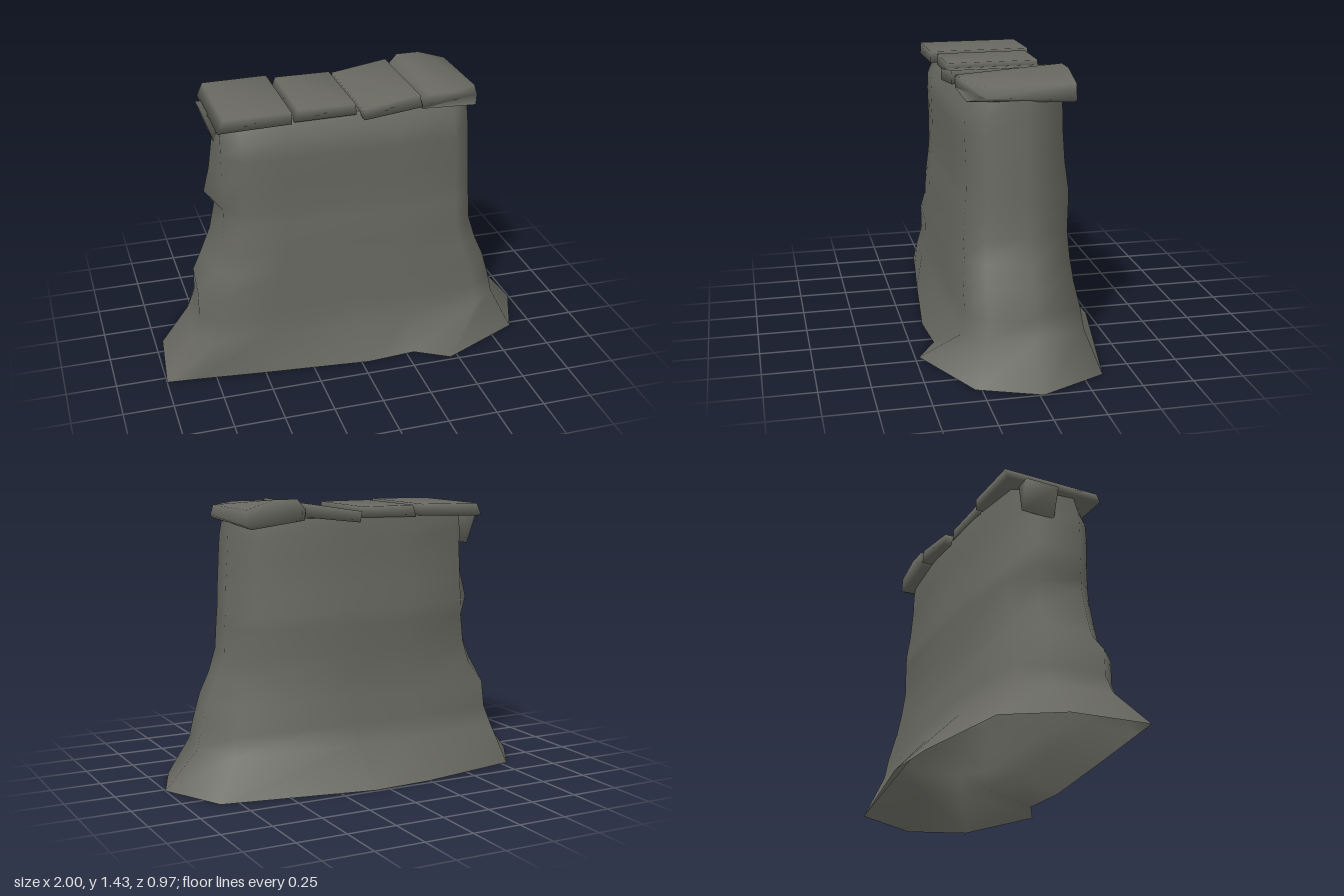
import * as THREE from 'three';
import { mergeVertices } from 'three/addons/utils/BufferGeometryUtils.js';

const stone = new THREE.MeshStandardMaterial({ color: 0x686861, side: THREE.DoubleSide });
stone.name = 'grey stone';

// Flared outline on the ground, as [x, z]
const foot = [[-1, 0.29], [-0.96, -0.1], [-0.79, -0.37], [-0.25, -0.47], [0.07, -0.49], [0.84, -0.35],
  [1, -0.02], [0.88, 0.28], [0.46, 0.48], [0.29, 0.38], [0.04, 0.4], [-0.5, 0.345], [-0.85, 0.305]];
// Rounded outline of the wall, in unit extents
const outline = [[-1, 0.62], [-0.97, -0.3], [-0.9, -0.82], [-0.35, -1], [0.1, -1], [0.88, -0.9],
  [1, -0.1], [0.95, 0.65], [0.8, 0.95], [0.35, 1], [0, 1], [-0.55, 1], [-0.87, 0.95]];
// Wall levels: y, left end, right end, back, front, bulge of the left end
const levels = [
  [0.2, -0.84, 0.83, 0.315, 0.32, 0], [0.3, -0.8, 0.81, 0.3, 0.3, 0],
  [0.43, -0.8, 0.77, 0.27, 0.3, 0], [0.54, -0.71, 0.72, 0.26, 0.285, 0.04], [0.66, -0.67, 0.68, 0.255, 0.285, 0.03],
  [0.8, -0.65, 0.675, 0.26, 0.27, 0.02], [0.87, -0.65, 0.67, 0.26, 0.265, 0.07], [1.0, -0.65, 0.665, 0.24, 0.265, 0.04],
  [1.15, -0.65, 0.655, 0.23, 0.27, 0.02], [1.24, -0.65, 0.65, 0.23, 0.265, 0], [1.335, -0.65, 0.645, 0.22, 0.215, 0]];

// Wall outline at one level, as [x, z]
const ring = ([, left, right, back, front, bulge]) => outline.map(([u, v], i) => [
  (u < 0 ? -u * left : u * right) - (i === 1 ? bulge : 0), v * (v < 0 ? back : front)]);

function wallGeometry() {
  const n = foot.length;
  const pos = foot.flatMap(([x, z]) => [x, 0.005, z]);
  for (const level of levels) {
    for (const [x, z] of ring(level)) pos.push(x, level[0], z);
  }
  const index = [];
  for (let r = 0; r < levels.length; r++) {
    for (let i = 0; i < n; i++) {
      const a = r * n + i, b = r * n + (i + 1) % n;
      index.push(a, a + n, b, b, a + n, b + n);
    }
  }
  const g = new THREE.BufferGeometry();
  g.setAttribute('position', new THREE.Float32BufferAttribute(pos, 3));
  g.setIndex(index);
  g.computeVertexNormals();
  return g;
}

// Slab from a front profile, run from back to front, with soft shared normals
function slabGeometry(points, back, front) {
  const shape = new THREE.Shape(points.map(([x, y]) => new THREE.Vector2(x, y)));
  const g = new THREE.ExtrudeGeometry(shape, { depth: front - back, bevelEnabled: false });
  g.translate(0, 0, back);
  g.deleteAttribute('normal');
  g.deleteAttribute('uv');
  const soft = mergeVertices(g);
  soft.computeVertexNormals();
  return soft;
}

export function createModel() {
  const group = new THREE.Group();
  const add = (name, geometry) => {
    const mesh = new THREE.Mesh(geometry, stone);
    mesh.name = name;
    group.add(mesh);
    return mesh;
  };

  add('wall', wallGeometry());

  // Closing face under the cap stones
  const topLevel = levels[levels.length - 1];
  const topShape = new THREE.Shape(ring(topLevel).map(([x, z]) => new THREE.Vector2(x, -z)));
  const top = add('wallTop', new THREE.ShapeGeometry(topShape));
  top.rotation.x = -Math.PI / 2;
  top.position.y = topLevel[0];

  // Small wedge standing out below the first cap stone
  add('wallChip', slabGeometry([[-0.705, 1.325], [-0.65, 1.17], [-0.62, 1.33]], -0.16, 0.02));

  add('capStoneOne', slabGeometry([[-0.68, 1.32], [-0.32, 1.33], [-0.32, 1.39], [-0.65, 1.385]], -0.25, 0.275));
  add('capStoneTwo', slabGeometry([[-0.3, 1.325], [0.01, 1.33], [0.005, 1.385], [-0.28, 1.385]], -0.225, 0.245));
  add('capStoneThree', slabGeometry([[0.04, 1.31], [0.335, 1.345], [0.32, 1.41], [0.03, 1.365]], -0.26, 0.28));

  // Rounded end stone: front corner pulled in, top sloping down to the front, outer edge dipping at the back
  const end = slabGeometry([[0.34, 1.33], [0.62, 1.32], [0.66, 1.34], [0.645, 1.39], [0.5, 1.435], [0.38, 1.435], [0.335, 1.385]], -0.25, 0.265);
  const p = end.attributes.position;
  for (let i = 0; i < p.count; i++) {
    const isFront = p.getZ(i) > 0;
    if (isFront && p.getX(i) > 0.63) p.setZ(i, 0.18);
    if (isFront && p.getY(i) > 1.4) p.setY(i, 1.4);
    if (!isFront && p.getX(i) > 0.6 && p.getY(i) < 1.35) p.setY(i, p.getY(i) - 0.025);
  }
  end.computeVertexNormals();
  add('capStoneFour', end);
  return group;
}
